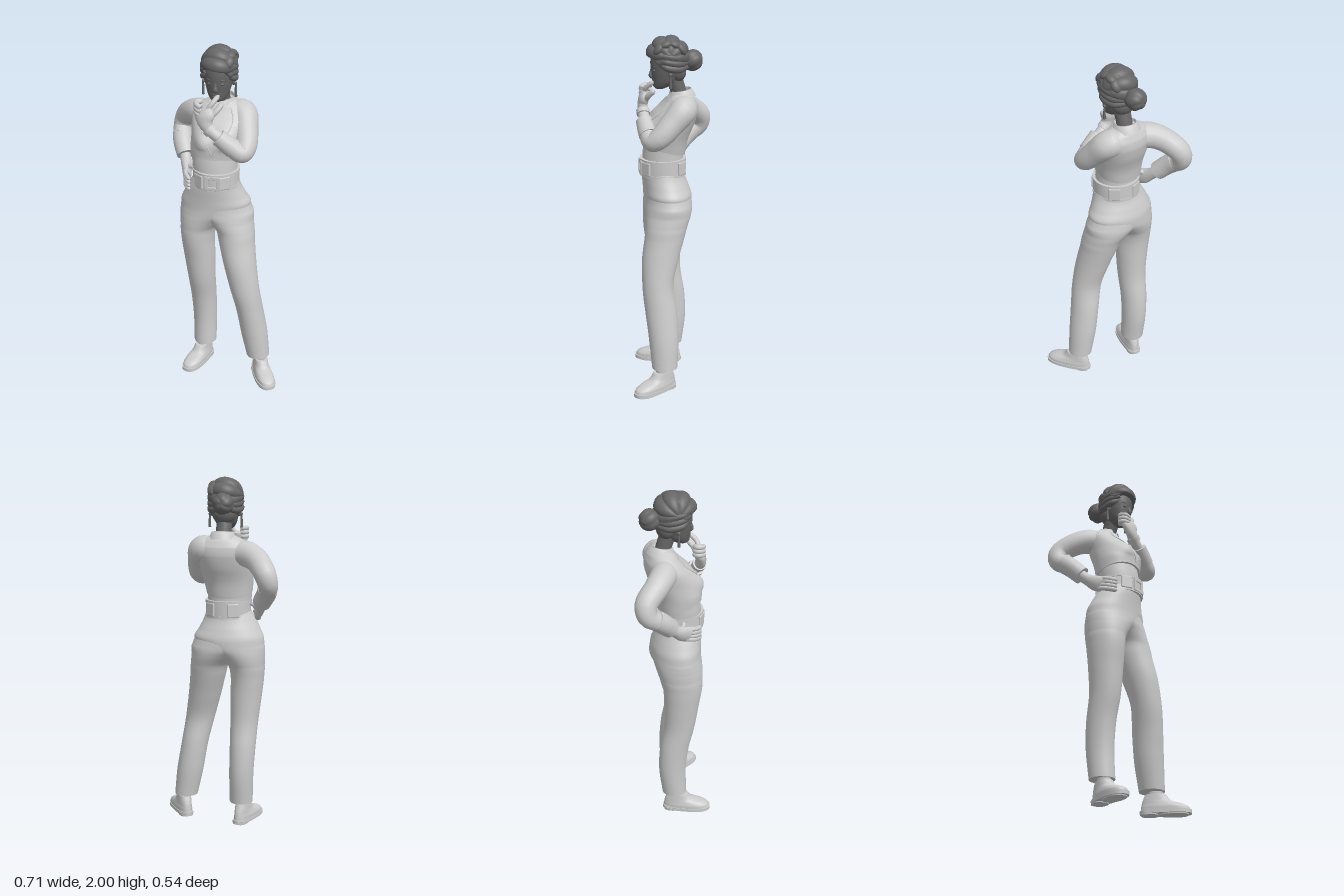
import * as THREE from 'three';
import { RoundedBoxGeometry } from 'three/addons/geometries/RoundedBoxGeometry.js';

const grey = new THREE.MeshStandardMaterial({ color: 0xcccccc });
const greyThin = new THREE.MeshStandardMaterial({ color: 0xcccccc, side: THREE.DoubleSide });
const dark = new THREE.MeshStandardMaterial({ color: 0x666666 });
const V = (x, y, z) => new THREE.Vector3(x, y, z);

// Skin over elliptical sections [x, y, z, ra, rb]; rings stay level, or follow the path.
function loft(rows, { follow = false, seg = 28, steps = 36, e = 1, round = false } = {}) {
  const path = new THREE.CatmullRomCurve3(rows.map(r => V(r[0], r[1], r[2])));
  const size = new THREE.CatmullRomCurve3(rows.map(r => V(r[3], r[4] ?? r[3], 0)));
  const pos = [], idx = [];
  const U = V(1, 0, 0), T = V(0, 1, 0), W = V(0, 0, -1);
  const pw = v => Math.sign(v) * Math.abs(v) ** e;
  const ring = (c, ra, rb) => {
    for (let j = 0; j < seg; j++) {
      const a = j / seg * Math.PI * 2;
      const p = c.clone().addScaledVector(U, ra * pw(Math.cos(a))).addScaledVector(W, rb * pw(Math.sin(a)));
      pos.push(p.x, p.y, p.z);
    }
  };
  const cap = (c, ra, rb, top) => {
    const s = pos.length / 3;
    ring(c, ra, rb);
    pos.push(c.x, c.y, c.z);
    for (let j = 0; j < seg; j++) {
      const k = (j + 1) % seg;
      idx.push(s + seg, s + (top ? j : k), s + (top ? k : j));
    }
  };
  const caps = [];
  for (let i = 0; i <= steps; i++) {
    const t = i / steps, c = path.getPoint(t), r = size.getPoint(t);
    if (round && t > 0.8) r.multiplyScalar(Math.sqrt(Math.max(0.01, 1 - ((t - 0.8) / 0.2) ** 2)));
    if (follow) {
      T.copy(path.getTangent(t));
      if (i === 0 && Math.abs(T.x) > 0.9) U.set(0, 0, 1);
      U.addScaledVector(T, -U.dot(T)).normalize();
      W.crossVectors(T, U);
    }
    ring(c, r.x, r.y);
    if (i === 0 || i === steps) caps.push([c, r.x, r.y, U.clone(), W.clone()]);
  }
  for (let i = 0; i < steps; i++) for (let j = 0; j < seg; j++) {
    const a = i * seg + j, b = i * seg + (j + 1) % seg;
    idx.push(a, b, a + seg, b, b + seg, a + seg);
  }
  caps.forEach(([c, ra, rb, u, w], n) => { U.copy(u); W.copy(w); cap(c, ra, rb, n === 1); });
  const g = new THREE.BufferGeometry();
  g.setAttribute('position', new THREE.Float32BufferAttribute(pos, 3));
  g.setIndex(idx);
  g.computeVertexNormals();
  return g;
}

// Moves every vertex by a rule
function reshape(g, rule) {
  const p = g.attributes.position;
  for (let i = 0; i < p.count; i++) p.setXYZ(i, ...rule(p.getX(i), p.getY(i), p.getZ(i)));
  g.computeVertexNormals();
  return g;
}

export function createModel() {
  const model = new THREE.Group();
  const add = (name, geo, mat = grey, parent = model) => {
    const m = new THREE.Mesh(geo, mat);
    m.name = name;
    parent.add(m);
    return m;
  };
  const ball = (name, p, r, mat = grey) => {
    const m = add(name, new THREE.SphereGeometry(1, 20, 14), mat);
    m.position.set(...p);
    m.scale.set(...r);
    return m;
  };
  const limb = (name, rows, o = {}) => add(name, loft(rows, { follow: true, seg: 20, ...o }));
  const finger = (name, pts, r) =>
    limb(name, pts.map(p => [...p, r]), { seg: 10, steps: 16, round: true });

  // Trousers: the right leg runs on into the hips, the left leg melts into them
  add('rightLegAndHips', loft([[-.128, .13, -.005, .067, .072], [-.13, .3, -.018, .07, .08], [-.135, .45, -.008, .074, .085],
    [-.14, .6, .02, .08, .09], [-.148, .75, .03, .09, .1], [-.155, .87, .034, .096, .112], [-.149, .94, .029, .105, .119],
    [-.116, 1.0, .023, .14, .13], [-.068, 1.05, .02, .188, .136], [-.05, 1.1, .021, .2, .136],
    [-.052, 1.15, .03, .177, .13], [-.052, 1.2, .042, .152, .123], [-.045, 1.25, .05, .128, .12]], { seg: 40, steps: 96 }));
  add('leftLeg', loft([[.217, .13, .078, .068, .073], [.19, .3, .08, .078, .085], [.165, .45, .09, .078, .09],
    [.135, .6, .104, .085, .088], [.103, .75, .085, .095, .104], [.079, .87, .057, .103, .113],
    [.065, .94, .042, .11, .119], [.027, 1.0, .027, .14, .13], [-.02, 1.05, .021, .186, .135],
    [-.045, 1.1, .022, .192, .133], [-.052, 1.15, .03, .165, .122]], { seg: 40, steps: 80 }));

  // Shoes, wider at the toe than at the heel
  const foot = g => reshape(g, (x, y, z) => [x * (1 + z * 1.1), y, z]);
  [['right', -.155, .063, -.33], ['left', .26, .138, .5]].forEach(([side, x, z, yaw]) => {
    const shoe = new THREE.Group();
    shoe.name = side + 'Shoe';
    shoe.position.set(x, 0, z);
    shoe.rotation.y = yaw;
    model.add(shoe);
    add('sole', foot(loft([[0, .006, 0, .054, .142], [0, .026, 0, .054, .142]], { e: .8, steps: 3, seg: 40 })), grey, shoe);
    add('heel', foot(loft([[0, 0, -.088, .046, .046], [0, .02, -.088, .048, .048]], { e: .75, steps: 2 })), grey, shoe);
    add('tread', foot(loft([[0, 0, .045, .046, .08], [0, .02, .045, .048, .084]], { e: .85, steps: 2 })), grey, shoe);
    add('upper', foot(loft([[0, .024, 0, .051, .137], [0, .042, -.003, .051, .132], [0, .06, -.018, .047, .114],
      [0, .08, -.046, .043, .08], [0, .115, -.054, .04, .058]], { e: .85, seg: 40 })), grey, shoe);
    add('ankle', loft([[0, .1, -.054, .034, .042], [0, .17, -.045, .034, .04]], { steps: 2 }), grey, shoe);
    const strap = add('strap', new THREE.TorusGeometry(.047, .005, 8, 24, Math.PI), grey, shoe);
    strap.position.set(0, .03, .01);
    strap.rotation.x = -.35;
  });

  // Belt with stacked bands, plates and an open buckle
  const bx = -.042, bz = .047;
  [['belt', 1.222, 1.305, .129], ['beltLowerEdge', 1.216, 1.23, .132], ['beltUpperEdge', 1.298, 1.314, .132]]
    .forEach(([n, y0, y1, r]) => add(n, loft([[bx, y0, bz, r, r], [bx, y1, bz, r, r]], { steps: 2, seg: 48 })));
  [-.62, .6, 2.4, 3.5].forEach(a => {
    const p = add('beltPlate', new RoundedBoxGeometry(.066, .076, .014, 2, .006));
    p.position.set(bx + Math.sin(a) * .128, 1.264, bz + Math.cos(a) * .128);
    p.rotation.y = a;
  });
  const rect = (w, h) => [[-w, -h], [w, -h], [w, h], [-w, h]].map(p => new THREE.Vector2(...p));
  const frame = new THREE.Shape(rect(.04, .038));
  frame.holes.push(new THREE.Path(rect(.026, .024).reverse()));
  add('buckle', new THREE.ExtrudeGeometry(frame, { depth: .008, bevelSize: .003, bevelThickness: .003, bevelSegments: 2 }))
    .position.set(-.035, 1.264, .17);

  // Shirt, and a cropped jacket whose hem rises to the front
  add('shirt', loft([[-.045, 1.25, .047, .122, .118], [-.05, 1.34, .045, .126, .115], [-.05, 1.46, .028, .13, .115]]));
  const jacketGeo = loft([[-.05, 1.335, .043, .13, .12], [-.045, 1.42, .034, .141, .127],
    [-.037, 1.5, .006, .15, .13], [-.03, 1.57, -.022, .162, .12], [-.025, 1.62, -.045, .16, .094],
    [-.022, 1.655, -.052, .125, .072], [-.025, 1.685, -.054, .06, .052]], { seg: 56, steps: 56, e: .92 });
  const jacket = add('jacket', reshape(jacketGeo, (x, y, z) => {
    const low = THREE.MathUtils.clamp((1.46 - y) / .12, 0, 1);
    const bust = [-.1, .028].reduce((s, b) => s + Math.exp(-((x - b) ** 2 + (y - 1.495) ** 2) / .003), 0);
    return [x, y + low * (z + .06) * .28, z + (z > .03 ? .034 * bust * Math.min(1, (z - .03) / .05) : 0)];
  }));

  // Lapel trims laid onto the jacket front
  const front = (x, y) => {
    const hit = new THREE.Raycaster(V(x, y, 1), V(0, 0, -1)).intersectObject(jacket)[0];
    return V(x, y, hit ? hit.point.z + .002 : .05);
  };
  [[[-.085, 1.65], [-.115, 1.6], [-.1, 1.54], [-.06, 1.47], [-.04, 1.42]],
    [[.035, 1.65], [.055, 1.6], [.035, 1.54], [-.015, 1.47], [-.04, 1.42]]].forEach(pts =>
    add('lapelEdge', new THREE.TubeGeometry(new THREE.CatmullRomCurve3(pts.map(p => front(...p))), 40, .003, 8)));
  ball('brooch', front(-.05, 1.535).toArray(), [.014, .02, .008]);

  // Collar, open at the front
  const collar = add('collar', new THREE.LatheGeometry(
    [[.08, -.03], [.074, -.012], [.062, .014], [.056, .016], [.054, -.03]].map(p => new THREE.Vector2(...p)),
    32, .45, Math.PI * 2 - .9), greyThin);
  collar.position.set(-.025, 1.684, -.052);
  collar.rotation.x = .15;

  // Right arm, hand on the hip
  limb('rightSleeve', [[-.09, 1.58, -.055, .068], [-.155, 1.585, -.075, .072], [-.228, 1.555, -.135, .066], [-.283, 1.49, -.208, .061],
    [-.3, 1.43, -.203, .055], [-.285, 1.38, -.135, .05], [-.254, 1.325, -.078, .046]]);
  limb('rightCuff', [[-.295, 1.405, -.165, .056], [-.28, 1.37, -.122, .055], [-.248, 1.315, -.068, .052]], { steps: 10 });
  limb('rightWrist', [[-.262, 1.335, -.09, .032], [-.238, 1.285, -.035, .03, .033], [-.222, 1.255, .01, .026, .044],
    [-.212, 1.238, .05, .02, .044]]);
  for (let i = 0; i < 4; i++) {
    const y = 1.2 + i * .021;
    finger('rightFinger', [[-.218, y + .017, .03], [-.21, y + .004, .08], [-.176, y - .008, .13]], .0135);
    if (i < 3) ball('rightCuffButton', [-.302 + i * .009, 1.435 - i * .022, -.125 + i * .02], [.011, .011, .011]);
  }
  finger('rightThumb', [[-.225, 1.27, -.01], [-.2, 1.285, .02], [-.17, 1.295, .03]], .014);

  // Left arm, hand raised to the chin
  limb('leftSleeve', [[.03, 1.596, -.054, .073], [.086, 1.604, -.048, .076], [.115, 1.54, .015, .069], [.132, 1.462, .092, .06],
    [.118, 1.44, .13, .052], [.06, 1.482, .147, .047], [.01, 1.525, .154, .042]]);
  limb('leftCuff', [[.075, 1.47, .143, .053], [.04, 1.498, .15, .05], [-.004, 1.535, .156, .046]], { steps: 10 });
  limb('leftWrist', [[.03, 1.51, .15, .034], [-.05, 1.57, .155, .031], [-.073, 1.605, .156, .04, .028],
    [-.08, 1.645, .148, .055, .03], [-.083, 1.685, .138, .044, .023]]);
  limb('bracelet', [[-.04, 1.562, .155, .038], [-.06, 1.581, .155, .038]], { steps: 2 });
  for (let i = 0; i < 3; i++) {
    const d = i * .023;
    finger('leftFinger', [[-.095, 1.695 - d, .16], [-.122, 1.705 - d, .15], [-.131, 1.71 - d, .12], [-.1, 1.708 - d, .1]], .0145);
    ball('leftCuffButton', [.07 + i * .027, 1.502 - i * .012, .107 - i * .007], [.011, .011, .011]);
  }
  finger('leftIndex', [[-.065, 1.68, .145], [-.042, 1.712, .138], [-.012, 1.752, .098]], .0135);
  finger('leftThumb', [[-.055, 1.635, .145], [-.02, 1.67, .128], [.005, 1.705, .098]], .016);

  // Neck and head
  limb('neck', [[-.025, 1.62, -.055, .046], [-.028, 1.69, -.04, .043], [-.03, 1.77, -.012, .045]]).material = dark;
  add('head', loft([[-.03, 1.706, .065, .02, .02], [-.03, 1.72, .056, .042, .045], [-.03, 1.75, .038, .06, .068],
    [-.03, 1.8, .03, .073, .083], [-.03, 1.86, .026, .08, .09], [-.03, 1.93, .02, .074, .083],
    [-.03, 1.98, .02, .03, .03]]), dark);
  limb('nose', [[-.03, 1.838, .103, .007], [-.03, 1.8, .111, .009], [-.03, 1.779, .115, .013, .011], [-.03, 1.768, .104, .009]],
    { seg: 14, steps: 16 }).material = dark;
  [1.75, 1.74].forEach(y => ball('lip', [-.03, y, .1], [.02, .006, .008], dark));
  [-1, 1].forEach(s => {
    ball('eye', [-.03 + s * .032, 1.812, .1], [.014, .008, .009], dark);
    ball('eyebrow', [-.03 + s * .034, 1.834, .1], [.019, .004, .008], dark).rotation.set(0, s * .35, s * .1);
    ball('ear', [-.03 + s * .076, 1.81, .012], [.01, .028, .018], dark);
    const drop = add('earring', new THREE.CylinderGeometry(.005, .008, .075, 10), dark);
    drop.position.set(-.03 + s * .09, 1.757, .018);
    ball('earringTop', [-.03 + s * .087, 1.795, .018], [.01, .01, .01], dark);
    // Strands swept from the temple back to the bun
    for (let i = 0; i < 3; i++) {
      limb('hairStrand', [[-.03 + s * .058, 1.9 - i * .024, .1 - i * .014, .012], [-.03 + s * .082, 1.893 - i * .03, .04, .019],
        [-.03 + s * .07, 1.88 - i * .03, -.03, .021], [-.034 + s * .02, 1.87 - i * .02, -.088, .015]],
      { seg: 14, steps: 24 }).material = dark;
    }
  });

  // Hair: ridged cap, tucked in below the hairline
  add('hair', reshape(new THREE.SphereGeometry(1, 80, 64), (u, v, w) => {
    const line = w > 0 ? -.82 + .8 * Math.min(1, w * 1.15) - .15 * u : -.82 + .2 * w;
    const k = THREE.MathUtils.smoothstep(v, line - .1, line + .04);
    const groove = Math.abs(Math.sin(Math.atan2(v, w) * 4 + u * .6 + .5)) ** .5;
    const f = .72 + (.16 + .14 * groove * Math.sqrt(1 - u * u * .8)) * k;
    return [u * .106 * f, v * .108 * f, w * .12 * f];
  }), dark).position.set(-.03, 1.89, .02);
  ball('napeHair', [-.03, 1.8, -.03], [.068, .062, .052], dark);

  // Rolls along the parting
  for (let i = 0; i < 4; i++) {
    const a = .65 + i * .62;
    ball('sideRoll', [.032, 1.887 + Math.sin(a) * .07, .018 + Math.cos(a) * .078], [.03, .022, .038], dark).rotation.x = Math.PI / 2 - a;
  }
  add('bun', reshape(new THREE.SphereGeometry(.059, 44, 32), (x, y, z) => {
    const f = .9 + .12 * Math.abs(Math.cos(Math.atan2(y, x) * 2.5 + z * 25)) ** .5 * Math.min(1, Math.hypot(x, y) * 35);
    return [x * f, y * f, z * f];
  }), dark).position.set(-.038, 1.857, -.118);
  return model;
}
